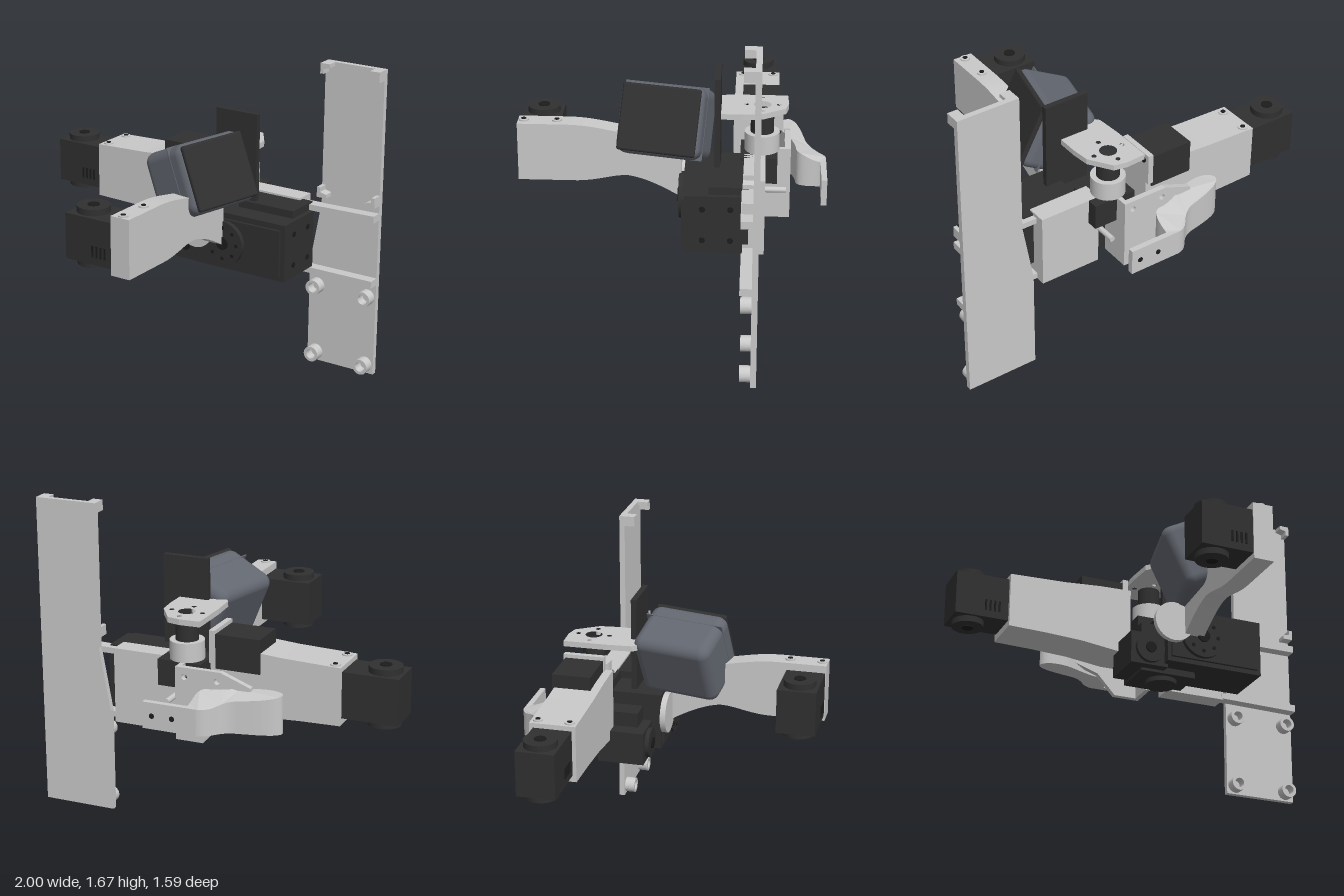
import * as THREE from 'three';
import { RoundedBoxGeometry } from 'three/addons/geometries/RoundedBoxGeometry.js';

const mat = (name, color) => Object.assign(new THREE.MeshStandardMaterial({ color }), { name });

export function createModel() {
  const light = mat('light grey plastic', 0xc9c9c9);
  const dark = mat('black servo casing', 0x303030);
  const trim = mat('dark recess', 0x1c1c1c);
  const slate = mat('slate housing', 0x636770);
  const model = new THREE.Group();

  const add = (name, geo, m, parent = model) => {
    const mesh = new THREE.Mesh(geo, m);
    mesh.name = name;
    parent.add(mesh);
    return mesh;
  };
  // Box given by its limits on each axis
  const box = (name, m, x0, x1, y0, y1, z0, z1) =>
    add(name, new THREE.BoxGeometry(x1 - x0, y1 - y0, z1 - z0), m)
      .position.set((x0 + x1) / 2, (y0 + y1) / 2, (z0 + z1) / 2);
  // Cylinder along a chosen axis, centred at x, y, z
  const rod = (name, m, axis, r, len, x, y, z, r2 = r) => {
    const g = new THREE.CylinderGeometry(r, r2, len, 28);
    if (axis === 'x') g.rotateZ(-Math.PI / 2);
    if (axis === 'z') g.rotateX(Math.PI / 2);
    return add(name, g, m).position.set(x, y, z);
  };
  const poly = (pts, smooth) => {
    if (!smooth) return new THREE.Shape(pts.map(p => new THREE.Vector2(...p)));
    const c = new THREE.CatmullRomCurve3(pts.map(p => new THREE.Vector3(p[0], p[1], 0)), true, 'centripetal');
    return new THREE.Shape(c.getPoints(72).map(p => new THREE.Vector2(p.x, p.y)));
  };
  const extrude = (shape, depth) => new THREE.ExtrudeGeometry(shape, { depth, bevelEnabled: false, curveSegments: 20 });
  const hole = (shape, x, y, r) => {
    shape.holes.push(new THREE.Path().absarc(x, y, r, 0, Math.PI * 2, true));
  };

  // Tall mounting plate, wider at the foot
  const plate = poly([[0.6, 0], [1, 0], [1, 1.67], [0.66, 1.67], [0.66, 0.9], [0.6, 0.56]]);
  add('mountingPlate', extrude(plate, 0.03), light).position.z = -0.455;

  // Corner clips on the upper half, hollow standoffs on the lower half
  for (const [x, sx] of [[0.66, 1], [1, -1]]) {
    for (const [y, sy] of [[1.67, -1], [0.95, 1]]) {
      const clip = poly([[0, 0], [0.055, 0], [0.055, 0.02], [0.02, 0.03], [0.02, 0.055], [0, 0.055]].map(
        ([a, b]) => [x + sx * a, y + sy * b]));
      add('cornerClip', extrude(clip, 0.055), light).position.z = -0.425;
    }
  }
  for (const x of [0.65, 0.95]) {
    for (const y of [0.05, 0.435]) {
      const ring = new THREE.Shape().absarc(0, 0, 0.042, 0, Math.PI * 2);
      hole(ring, 0, 0, 0.026);
      add('standoff', extrude(ring, 0.055), light).position.set(x, y, -0.425);
    }
  }

  // Bracket joining the plate to the base servo, with stiffening ridges
  box('servoBracket', light, 0.22, 0.56, 0.515, 0.92, -0.48, -0.37);
  for (const [y, t] of [[0.9, -0.03], [0.52, 0.03]]) {
    const ridge = poly([[0.55, y], [1, y - t * 0.3], [1, y + t], [0.55, y + t]]);
    add('bracketRidge', extrude(ridge, 0.065), light).position.z = -0.43;
  }

  // Base servo with its output disc facing forward
  box('baseServo', dark, 0.1, 0.645, 0.56, 0.87, -0.37, -0.08);
  box('baseServoLid', dark, 0.29, 0.62, 0.6, 0.91, -0.4, -0.2);
  box('baseServoFront', dark, 0.12, 0.62, 0.585, 0.84, -0.08, -0.065);
  rod('baseServoDisc', dark, 'z', 0.12, 0.03, 0.29, 0.715, -0.055);
  rod('baseServoHub', trim, 'z', 0.035, 0.01, 0.29, 0.715, -0.037);
  for (let i = 0; i < 8; i++) {
    const a = i * Math.PI / 4;
    rod('discHole', trim, 'z', 0.01, 0.004, 0.29 + 0.085 * Math.cos(a), 0.715 + 0.085 * Math.sin(a), -0.039);
  }
  for (const y of [0.63, 0.8]) {
    for (const z of [-0.17, -0.31]) rod('servoScrew', trim, 'x', 0.015, 0.006, 0.646, y, z);
  }

  // Lower servo with discs on its side and underside
  box('lowerServo', dark, -0.01, 0.3, 0.525, 0.8, -0.42, -0.18);
  rod('lowerServoDisc', dark, 'y', 0.085, 0.03, 0.15, 0.515, -0.29);
  box('sideServo', dark, -0.09, 0.12, 0.54, 0.72, -0.38, -0.13);
  rod('sideServoDisc', dark, 'z', 0.08, 0.025, 0.015, 0.63, -0.12);
  rod('sideServoHub', trim, 'z', 0.03, 0.01, 0.015, 0.63, -0.105);

  // Side arm, flaring gently towards its root
  const armA = poly([[-0.71, 0.71], [-0.5, 0.705], [-0.3, 0.695], [-0.1, 0.67], [-0.02, 0.67],
    [-0.02, 1.04], [-0.2, 1.035], [-0.4, 1.02], [-0.71, 1.01]]);
  add('sideArm', extrude(armA, 0.24), light).position.z = -0.55;
  box('armFlange', light, -0.05, -0.02, 0.95, 1.12, -0.57, -0.35);
  for (const z of [-0.53, -0.39]) rod('flangeScrew', trim, 'x', 0.018, 0.006, -0.018, 1.085, z);
  box('armTopServo', dark, -0.29, -0.05, 0.92, 1.1, -0.56, -0.355);

  // Cover bracket behind the side arm
  const cover = poly([[-0.28, 0.7], [-0.1, 0.64], [0, 0.53], [0.15, 0.53], [0.15, 0.92], [-0.1, 0.92], [-0.26, 0.86]]);
  for (const x of [0.1, -0.08]) hole(cover, x, 0.87, 0.016);
  add('coverBracket', extrude(cover, 0.03), light).position.z = -0.61;
  box('coverBracketWall', light, 0.125, 0.15, 0.53, 0.92, -0.585, -0.44);
  rod('coverPivot', light, 'z', 0.015, 0.11, 0.21, 0.715, -0.535);

  // Curved finger lever, its upper edge sloping down towards the free end
  const lever = new THREE.Shape();
  lever.moveTo(0.24, 0.8);
  lever.lineTo(-0.05, 0.8);
  lever.bezierCurveTo(-0.13, 0.79, -0.12, 0.71, -0.22, 0.69);
  lever.bezierCurveTo(-0.32, 0.67, -0.43, 0.65, -0.43, 0.6);
  lever.bezierCurveTo(-0.42, 0.55, -0.35, 0.54, -0.28, 0.56);
  lever.bezierCurveTo(-0.18, 0.6, -0.12, 0.64, -0.04, 0.64);
  lever.bezierCurveTo(0.02, 0.65, 0, 0.74, 0.01, 0.77);
  lever.lineTo(0.24, 0.77);
  const leverGeo = extrude(lever, 0.2).rotateX(-Math.PI / 2);
  const p = leverGeo.attributes.position;
  for (let i = 0; i < p.count; i++) {
    if (p.getY(i) > 0.1) p.setY(i, 0.2 - 0.06 * THREE.MathUtils.smoothstep(-p.getZ(i), 0.6, 0.78));
  }
  leverGeo.computeVertexNormals();
  add('fingerLever', leverGeo, light).position.y = 0.645;
  for (const x of [0.08, 0.19]) rod('leverHole', trim, 'z', 0.014, 0.004, x, 0.715, -0.8);

  // Horn plate over the shoulder joint
  const horn = poly([[0.02, 0.59], [0.13, 0.595], [0.2, 0.58], [0.28, 0.46], [0.29, 0.36], [0.29, 0.23],
    [0.12, 0.22], [0.08, 0.16], [0.03, 0.22], [0.02, 0.36]]);
  hole(horn, 0.15, 0.46, 0.045);
  for (let i = 0; i < 4; i++) {
    hole(horn, 0.15 + 0.085 * Math.cos(i * Math.PI / 2), 0.46 + 0.085 * Math.sin(i * Math.PI / 2), 0.013);
  }
  add('shoulderHorn', extrude(horn, 0.03).rotateX(-Math.PI / 2), light).position.y = 1.135;
  rod('shoulderPost', light, 'y', 0.09, 0.1, 0.15, 0.97, -0.46);
  rod('shoulderShaft', dark, 'y', 0.06, 0.11, 0.15, 1.075, -0.46);
  box('shoulderServo', dark, 0.04, 0.28, 0.78, 0.92, -0.54, -0.35);

  // Upright dark panel behind the head
  box('uprightPanel', dark, 0.13, 0.38, 0.88, 1.385, -0.25, -0.22);

  // Forward arm with a waisted side profile
  const armB = new THREE.Shape();
  armB.moveTo(0.79, 0.78);
  armB.lineTo(0.5, 0.78);
  armB.bezierCurveTo(0.38, 0.78, 0.3, 0.82, 0.22, 0.815);
  armB.bezierCurveTo(0.12, 0.8, 0.02, 0.74, -0.05, 0.7);
  armB.lineTo(-0.05, 0.92);
  armB.bezierCurveTo(0.05, 0.98, 0.15, 1.03, 0.24, 1.05);
  armB.bezierCurveTo(0.36, 1.07, 0.42, 1.09, 0.55, 1.09);
  armB.lineTo(0.79, 1.09);
  add('forwardArm', extrude(armB, 0.11).rotateY(-Math.PI / 2), light).position.x = 0.29;
  rod('forwardArmCheek', light, 'z', 0.11, 0.03, 0.12, 0.77, -0.05);

  // Grip servos at both arm ends: casing, discs above and below, slots
  const gripServo = (x0, x1, y0, y1, z0, z1, hx) => {
    const z = (z0 + z1) / 2;
    box('gripServo', dark, x0, x1, y0, y1, z0, z1);
    for (const [y, s] of [[y1, 1], [y0, -1]]) {
      rod('gripServoDisc', dark, 'y', 0.085, 0.035, hx, y + s * 0.015, z);
      rod('gripServoHub', trim, 'y', 0.03, 0.006, hx, y + s * 0.034, z);
    }
    for (let i = 0; i < 4; i++) {
      const x = hx + 0.06 + i * 0.025;
      box('casingSlot', trim, x, x + 0.01, y0 + 0.04, y0 + 0.1, z1, z1 + 0.004);
    }
  };
  gripServo(-1, -0.65, 0.745, 0.985, -0.53, -0.33, -0.9);
  gripServo(-0.1, 0.25, 0.81, 1.05, 0.58, 0.785, 0);

  // Screws on top of both arm ends
  for (const [x, y, z] of [[-0.67, 1.012, -0.515], [-0.67, 1.012, -0.35], [0.235, 1.092, 0.59], [0.235, 1.092, 0.76]]) {
    rod('armScrew', light, 'y', 0.026, 0.012, x, y, z);
    rod('armScrewSocket', trim, 'y', 0.013, 0.004, x, y + 0.007, z);
  }

  // Tilted camera head with a dark front panel
  const head = new THREE.Group();
  head.name = 'head';
  head.position.set(0.2, 1.085, 0.03);
  head.rotation.set(0, -0.23, 0.42, 'YXZ');
  model.add(head);
  add('headShell', new RoundedBoxGeometry(0.32, 0.37, 0.44, 5, 0.055), slate, head);
  add('headPanel', new RoundedBoxGeometry(0.03, 0.345, 0.41, 3, 0.012), dark, head).position.x = 0.152;
  add('headSeam', new RoundedBoxGeometry(0.008, 0.374, 0.444, 3, 0.003), slate, head).position.x = 0.06;

  return model;
}
